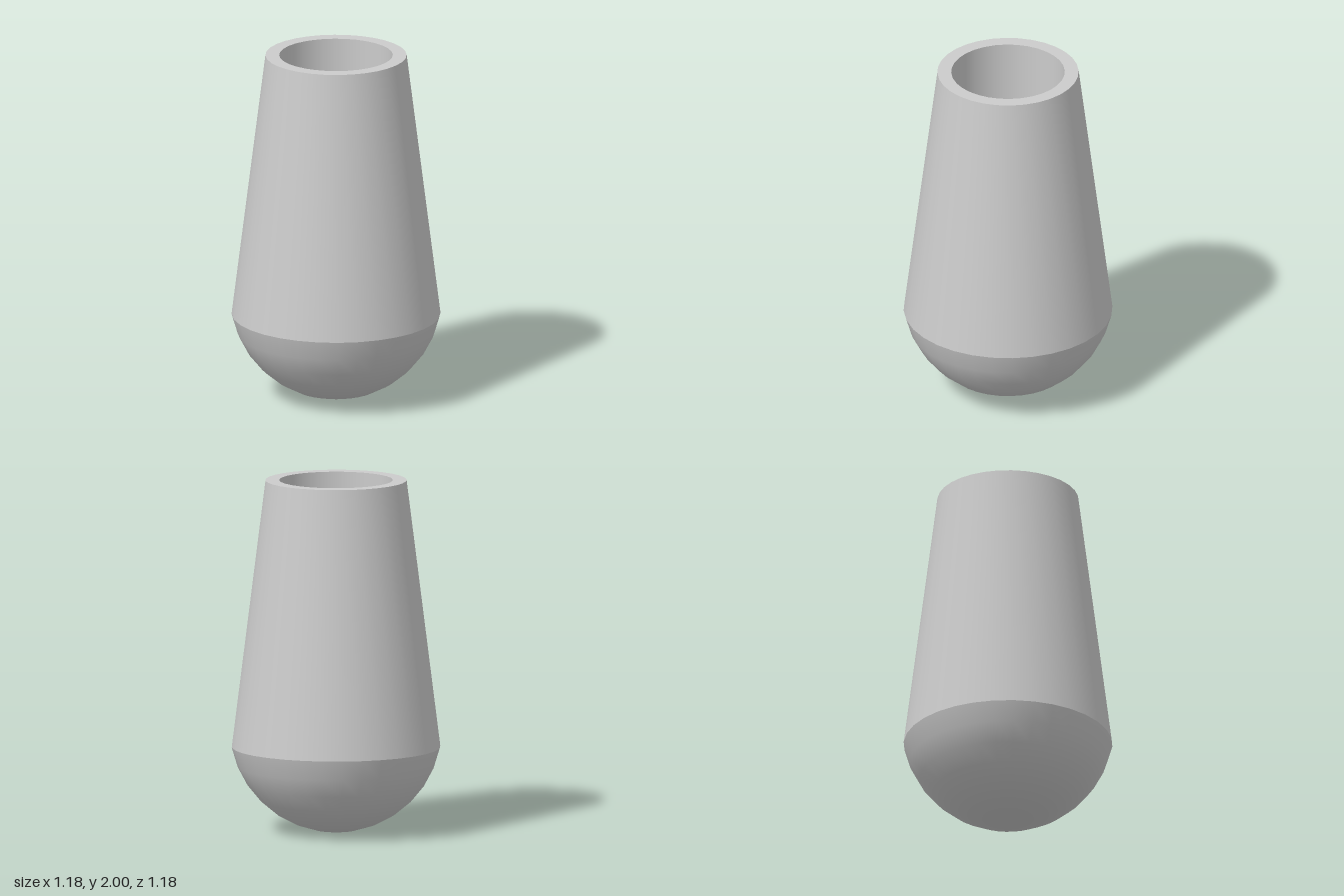
import * as THREE from 'three';

const SEGMENTS = 32;
const STEP = Math.PI / 16;

export function createModel() {
  const group = new THREE.Group();
  const material = new THREE.MeshStandardMaterial({ color: 0xcccccc });

  // Each surface of revolution is its own mesh, so the edges between them stay sharp
  const addTurned = (name, profile) => {
    const points = profile.map(([r, y]) => new THREE.Vector2(r, y));
    const mesh = new THREE.Mesh(new THREE.LatheGeometry(points, SEGMENTS), material);
    mesh.name = name;
    group.add(mesh);
  };

  // Rounded base: the lower part of a sphere of radius 0.6
  const base = [];
  for (let i = 0; i <= 7; i++) {
    base.push([0.6 * Math.sin(i * STEP), 0.6 - 0.6 * Math.cos(i * STEP)]);
  }
  const [shoulderRadius, shoulderY] = base[7];
  addTurned('roundedBase', base);

  // Tapered outer wall, flat rim and the cavity
  addTurned('taperedWall', [[shoulderRadius, shoulderY], [0.398, 2]]);
  addTurned('rim', [[0.398, 2], [0.32, 2]]);
  addTurned('innerWall', [[0.32, 2], [0.32, shoulderY]]);
  addTurned('innerFloor', [[0.32, shoulderY], [0, shoulderY]]);

  return group;
}
